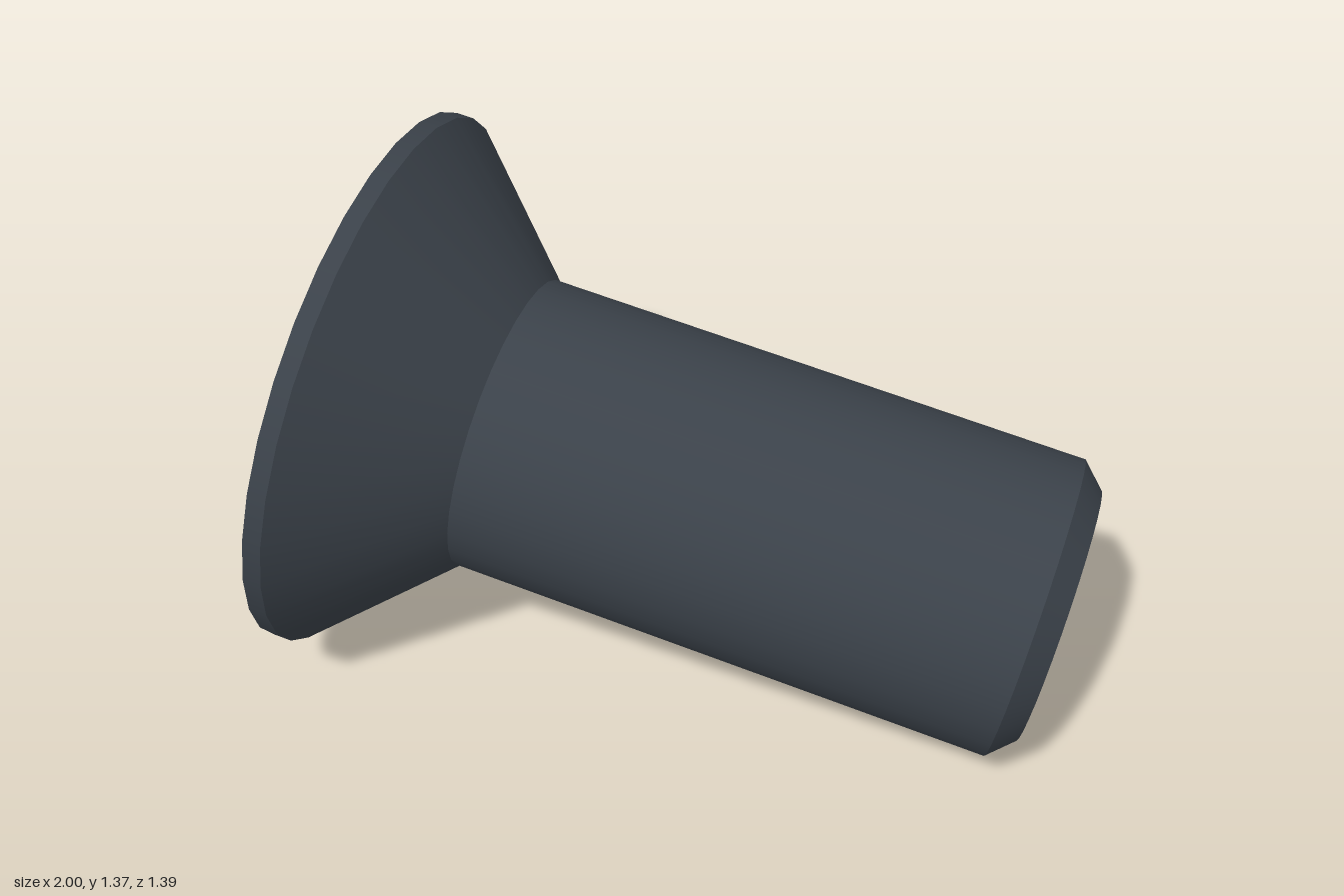
import * as THREE from 'three';

const SIDES = 32, HEAD_R = 0.69, SHAFT_R = 0.375, TIP_R = 0.316, LENGTH = 1.794;
const ARM = 0.335, SLOT = 0.08, ARM_DEPTH = 0.08, PIT_DEPTH = 0.21;

// Outline of a cross, counter-clockwise: tip = arm reach, w = half width
function crossPoints(tip, w) {
  const pts = [];
  for (let i = 0; i < 4; i++) {
    const c = new THREE.Vector2();
    for (const [x, y] of [[tip, -w], [tip, w], [w, w]]) {
      pts.push(new THREE.Vector2(x, y).rotateAround(c, i * Math.PI / 2));
    }
  }
  return pts;
}

const squarePoints = (h) => [[h, -h], [h, h], [-h, h], [-h, -h]].map(([x, y]) => new THREE.Vector2(x, y));

// Flat-shaded inward-facing walls between two matching loops
function walls(top, zTop, bottom, zBottom) {
  const pos = [];
  top.forEach((a, i) => {
    const j = (i + 1) % top.length, b = top[j], c = bottom[i], d = bottom[j];
    pos.push(a.x, a.y, zTop, b.x, b.y, zTop, c.x, c.y, zBottom);
    pos.push(b.x, b.y, zTop, d.x, d.y, zBottom, c.x, c.y, zBottom);
  });
  const geo = new THREE.BufferGeometry();
  geo.setAttribute('position', new THREE.Float32BufferAttribute(pos, 3));
  geo.computeVertexNormals();
  return geo;
}

export function createModel() {
  const steel = new THREE.MeshStandardMaterial({ color: 0x3b424a });
  steel.name = 'darkSteel';
  const screw = new THREE.Group();
  screw.name = 'screw';
  const add = (name, geo) => {
    const mesh = new THREE.Mesh(geo, steel);
    mesh.name = name;
    screw.add(mesh);
    return mesh;
  };

  // Round sections along the axis (head face at z = 0, tip towards -z)
  const sections = [
    ['headRim', HEAD_R, 0, HEAD_R, 0.045],
    ['headCone', HEAD_R, 0.045, SHAFT_R, 0.37],
    ['shaft', SHAFT_R, 0.37, SHAFT_R, LENGTH - 0.06],
    ['tipChamfer', SHAFT_R, LENGTH - 0.06, TIP_R, LENGTH],
  ];
  for (const [name, r0, t0, r1, t1] of sections) {
    const profile = [new THREE.Vector2(r0, t0), new THREE.Vector2(r1, t1)];
    add(name, new THREE.LatheGeometry(profile, SIDES).rotateX(-Math.PI / 2));
  }
  add('tipFace', new THREE.CircleGeometry(TIP_R, SIDES).rotateY(Math.PI)).position.z = -LENGTH;

  // Head face with the cross cut out
  const rim = [];
  for (let i = 0; i < SIDES; i++) {
    const a = i / SIDES * Math.PI * 2;
    rim.push(new THREE.Vector2(HEAD_R * Math.cos(a), HEAD_R * Math.sin(a)));
  }
  const face = new THREE.Shape(rim);
  face.holes.push(new THREE.Path(crossPoints(ARM, SLOT)));
  add('headFace', new THREE.ShapeGeometry(face));

  // Recess: sloped arm ends, arm floors and a deeper tapered centre
  const inner = SLOT - 0.008, reach = ARM - 0.08;
  add('recessWalls', walls(crossPoints(ARM, SLOT), 0, crossPoints(reach, inner), -ARM_DEPTH));
  for (let i = 0; i < 4; i++) {
    const floor = new THREE.PlaneGeometry(reach - inner, inner * 2);
    floor.translate((reach + inner) / 2, 0, -ARM_DEPTH).rotateZ(i * Math.PI / 2);
    add('recessArmFloor', floor);
  }
  add('recessCentreWalls', walls(squarePoints(inner), -ARM_DEPTH, squarePoints(0.04), -PIT_DEPTH));
  add('recessCentreFloor', new THREE.PlaneGeometry(0.08, 0.08)).position.z = -PIT_DEPTH;

  // Tilt the whole screw onto its resting axis
  const out = new THREE.Vector3(-0.9627, 0.182, -0.2002).normalize();
  const side = new THREE.Vector3(0, 1, 0).cross(out).normalize();
  const up = out.clone().cross(side);
  screw.quaternion.setFromRotationMatrix(new THREE.Matrix4().makeBasis(side, up, out));
  screw.position.set(-0.813, 0.685, -0.014);

  const model = new THREE.Group();
  model.name = 'countersunkScrew';
  model.add(screw);
  return model;
}
